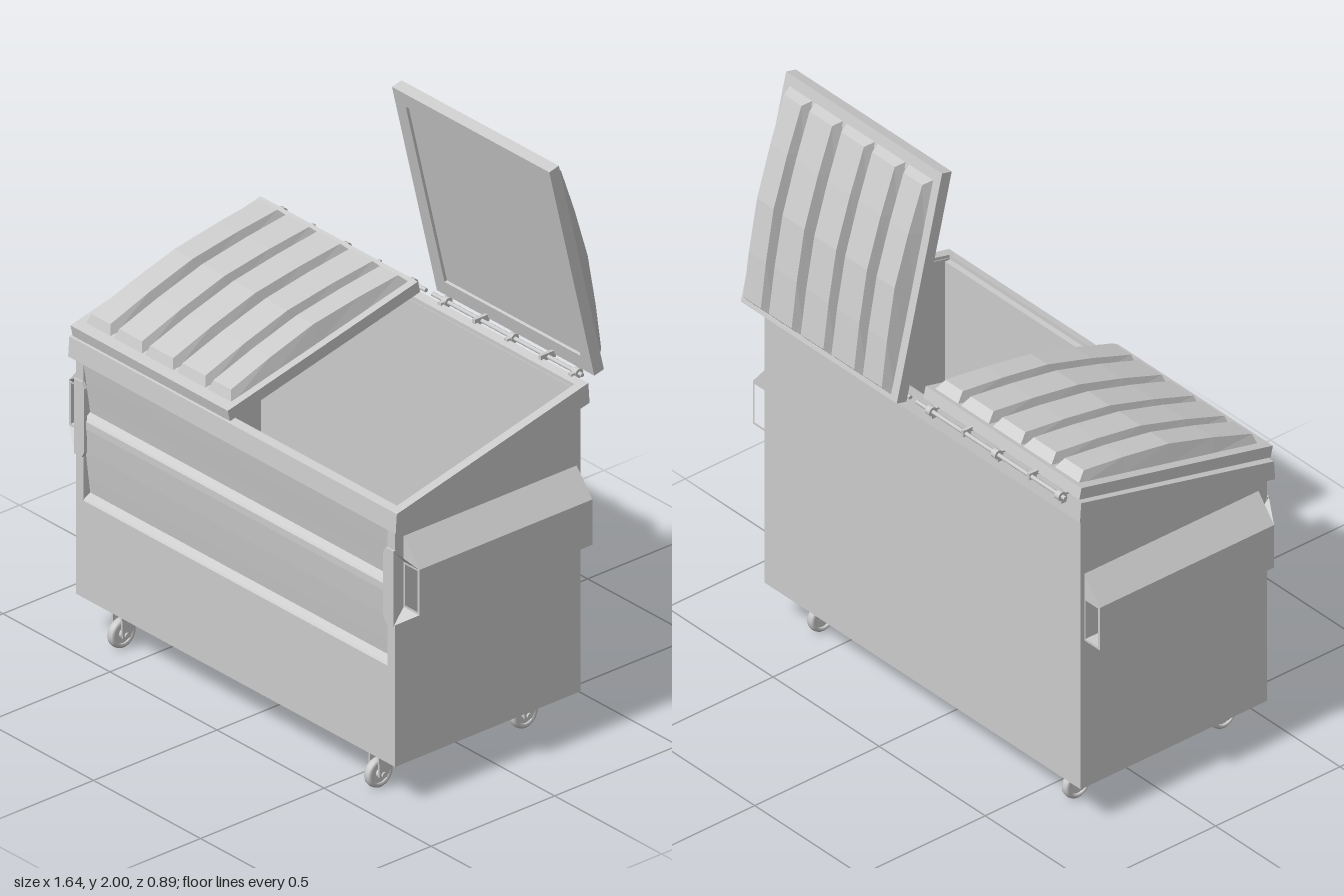
import * as THREE from 'three';

const mat = new THREE.MeshStandardMaterial({ color: 0xcccccc });
const flat = new THREE.MeshStandardMaterial({ color: 0xcccccc, flatShading: true, side: THREE.DoubleSide });

function add(parent, name, geometry, material = mat) {
  const mesh = new THREE.Mesh(geometry, material);
  mesh.name = name;
  parent.add(mesh);
  return mesh;
}

const shapeOf = (pts) => new THREE.Shape(pts.map(([a, b]) => new THREE.Vector2(a, b)));

// Side profile of [z, y] points, extruded from x0 to x1
function extrudeX(pts, x0, x1) {
  const g = new THREE.ExtrudeGeometry(shapeOf(pts), { depth: x1 - x0, bevelEnabled: false });
  return g.rotateY(-Math.PI / 2).translate(x1, 0, 0);
}

// Box given by its limits
function box(x0, x1, y0, y1, z0, z1) {
  return new THREE.BoxGeometry(x1 - x0, y1 - y0, z1 - z0)
    .translate((x0 + x1) / 2, (y0 + y1) / 2, (z0 + z1) / 2);
}

const rodX = (r, len, seg = 16) => new THREE.CylinderGeometry(r, r, len, seg).rotateZ(Math.PI / 2);

// Lid rib: cross-sections along z, narrower at the top
function ribGeometry(x0, x1) {
  const sections = [[0.015, 0.036, 0], [0.04, 0.073, 0.014], [0.2, 0.089, 0.015], [0.385, 0.1, 0.016],
    [0.57, 0.088, 0.015], [0.735, 0.07, 0.014], [0.755, 0.036, 0]];
  const pos = [], idx = [];
  sections.forEach(([z, h, inset]) => {
    pos.push(x0, 0.036, z, x0 + inset, h, z, x1 - inset, h, z, x1, 0.036, z);
  });
  for (let i = 0; i < sections.length - 1; i++) {
    for (let j = 0; j < 3; j++) {
      const a = i * 4 + j, b = a + 4;
      idx.push(a, b, b + 1, a, b + 1, a + 1);
    }
  }
  const g = new THREE.BufferGeometry();
  g.setAttribute('position', new THREE.Float32BufferAttribute(pos, 3));
  g.setIndex(idx);
  g.computeVertexNormals();
  return g;
}

// Lid with its hinge edge at the origin, reaching along +z
function makeLid(name) {
  const lid = new THREE.Group(), W = 0.735, L = 0.79, T = 0.04;
  lid.name = name;
  add(lid, 'lidPanel', box(0.04, W - 0.04, 0.01, T - 0.002, 0.04, L - 0.04));
  for (const x of [0, W - 0.05]) add(lid, 'lidSideFrame', box(x, x + 0.05, 0, T, 0, L));
  for (const z of [0, L - 0.055]) add(lid, 'lidEndFrame', box(0.05, W - 0.05, 0, T, z, z + 0.055));
  const ribs = [[0.03, 0.147], [0.16, 0.295], [0.305, 0.44], [0.455, 0.59], [0.6, 0.71]];
  for (const [a, b] of ribs) add(lid, 'lidRib', ribGeometry(a, b), flat);
  return lid;
}

// Swivel wheel, centred on its axle
function makeCaster() {
  const c = new THREE.Group();
  c.name = 'caster';
  const tyre = [[0.034, -0.012], [0.042, -0.015], [0.049, -0.01], [0.051, 0], [0.049, 0.01],
    [0.042, 0.015], [0.034, 0.012], [0.034, -0.012]].map(([r, y]) => new THREE.Vector2(r, y));
  add(c, 'tyre', new THREE.LatheGeometry(tyre, 28).rotateZ(Math.PI / 2));
  add(c, 'wheelDisc', rodX(0.036, 0.014, 28));
  add(c, 'hub', rodX(0.016, 0.034));
  add(c, 'axle', rodX(0.009, 0.062, 12));
  const fork = [[0.016, -0.008], [0.02, 0.095], [-0.078, 0.095], [-0.05, 0.05], [-0.014, -0.012], [0.004, -0.016]];
  for (const x of [-0.025, 0.018]) add(c, 'forkPlate', extrudeX(fork, x, x + 0.007));
  add(c, 'mountPlate', box(-0.025, 0.025, 0.078, 0.096, -0.07, 0.02));
  return c;
}

// Lifting sleeve on one side (s = 1 left, -1 right)
function makePocket(s) {
  const p = new THREE.Group();
  p.name = s > 0 ? 'leftForkPocket' : 'rightForkPocket';
  const shape = shapeOf([[0.744, 0.94], [0.818, 0.85], [0.818, 0.693], [0.744, 0.693]].map(([x, y]) => [x * s, y]));
  shape.holes.push(shapeOf([[0.75, 0.843], [0.81, 0.843], [0.81, 0.701], [0.75, 0.701]].map(([x, y]) => [x * s, y])));
  add(p, 'sleeve', new THREE.ExtrudeGeometry(shape, { depth: 0.7, bevelEnabled: false }).translate(0, 0, -0.31));
  // Flared guides at the mouth
  const flare = new THREE.BufferGeometry();
  flare.setAttribute('position', new THREE.Float32BufferAttribute([
    0.818 * s, 0.85, 0.39, 0.744 * s, 0.85, 0.39, 0.744 * s, 0.9, 0.432,
    0.818 * s, 0.693, 0.39, 0.744 * s, 0.693, 0.39, 0.744 * s, 0.64, 0.432], 3));
  flare.computeVertexNormals();
  add(p, 'mouthFlare', flare, flat);
  const plate = shapeOf([[0.746, 0.64], [0.746, 0.9], [0.71, 0.9], [0.698, 0.88], [0.698, 0.66], [0.71, 0.64]]
    .map(([x, y]) => [x * s, y]));
  add(p, 'mouthPlate', new THREE.ExtrudeGeometry(plate, { depth: 0.012, bevelEnabled: false }).translate(0, 0, 0.421));
  return p;
}

export function createModel() {
  const model = new THREE.Group();
  model.name = 'wasteContainer';

  // Hollow body with a sloping top
  const body = new THREE.Group();
  body.name = 'body';
  model.add(body);
  const side = [[0.425, 0.15], [0.425, 1.03], [-0.325, 1.205], [-0.325, 0.15]];
  for (const x of [-0.745, 0.73]) add(body, 'sideWall', extrudeX(side, x, x + 0.015));
  add(body, 'backWall', box(-0.73, 0.73, 0.15, 1.2, -0.325, -0.31));
  add(body, 'floor', box(-0.73, 0.73, 0.15, 0.17, -0.31, 0.39));
  const grooved = [[0.388, 0.15], [0.425, 0.15], [0.425, 0.487], [0.42, 0.494], [0.398, 0.506], [0.405, 0.56],
    [0.416, 0.65], [0.425, 0.74], [0.425, 0.765], [0.42, 0.772], [0.398, 0.784], [0.405, 0.83], [0.416, 0.9],
    [0.425, 0.96], [0.425, 1.03], [0.388, 1.03]];
  add(body, 'frontWall', extrudeX(grooved, -0.71, 0.71));
  for (const x of [-0.73, 0.71]) add(body, 'frontWallEnd', box(x, x + 0.02, 0.15, 1.03, 0.388, 0.425));

  // Rim following the slope
  const rim = new THREE.Group();
  rim.name = 'rim';
  model.add(rim);
  const railSide = [[0.44, 0.97], [0.435, 1.038], [-0.34, 1.222], [-0.345, 1.152]];
  for (const x of [-0.765, 0.733]) add(rim, 'sideRim', extrudeX(railSide, x, x + 0.032));
  add(rim, 'frontRim', extrudeX([[0.44, 0.97], [0.435, 1.038], [0.408, 1.044], [0.408, 0.977]], -0.733, 0.733));
  add(rim, 'backRim', extrudeX([[-0.345, 1.152], [-0.34, 1.222], [-0.312, 1.215], [-0.312, 1.145]], -0.733, 0.733));

  // One lid closed, the other swung open
  const closedLid = makeLid('closedLid');
  closedLid.position.set(-0.75, 1.225, -0.335);
  closedLid.rotation.x = 0.229;
  const openLid = makeLid('openLid');
  openLid.position.set(0.006, 1.222, -0.385);
  openLid.rotation.x = -1.338;
  model.add(closedLid, openLid);

  // Hinge rods with lugs and collars
  for (const s of [-1, 1]) {
    const hinge = new THREE.Group();
    hinge.name = 'hinge';
    add(hinge, 'hingeRod', rodX(0.007, 0.7, 10)).position.set(s * 0.365, 1.222, -0.36);
    for (const x of [0.08, 0.39, 0.69]) {
      add(hinge, 'hingeCollar', rodX(0.016, 0.02, 12)).position.set(s * x, 1.222, -0.36);
      add(hinge, 'hingeLug', box(s * x - 0.008, s * x + 0.008, 1.195, 1.228, -0.362, -0.33));
    }
    for (const x of [0.24, 0.55]) {
      add(hinge, 'lidLug', box(s * x - 0.006, s * x + 0.006, 1.212, 1.235, s > 0 ? -0.39 : -0.37, -0.33));
    }
    model.add(hinge, makePocket(s));
  }

  // Casters
  for (const x of [-0.6, 0.6]) {
    for (const z of [0.367, -0.22]) {
      const caster = makeCaster();
      caster.position.set(x, 0.055, z);
      model.add(caster);
    }
  }
  model.position.y = -0.004;
  const root = new THREE.Group();
  root.name = 'dumpster';
  root.add(model);
  return root;
}
